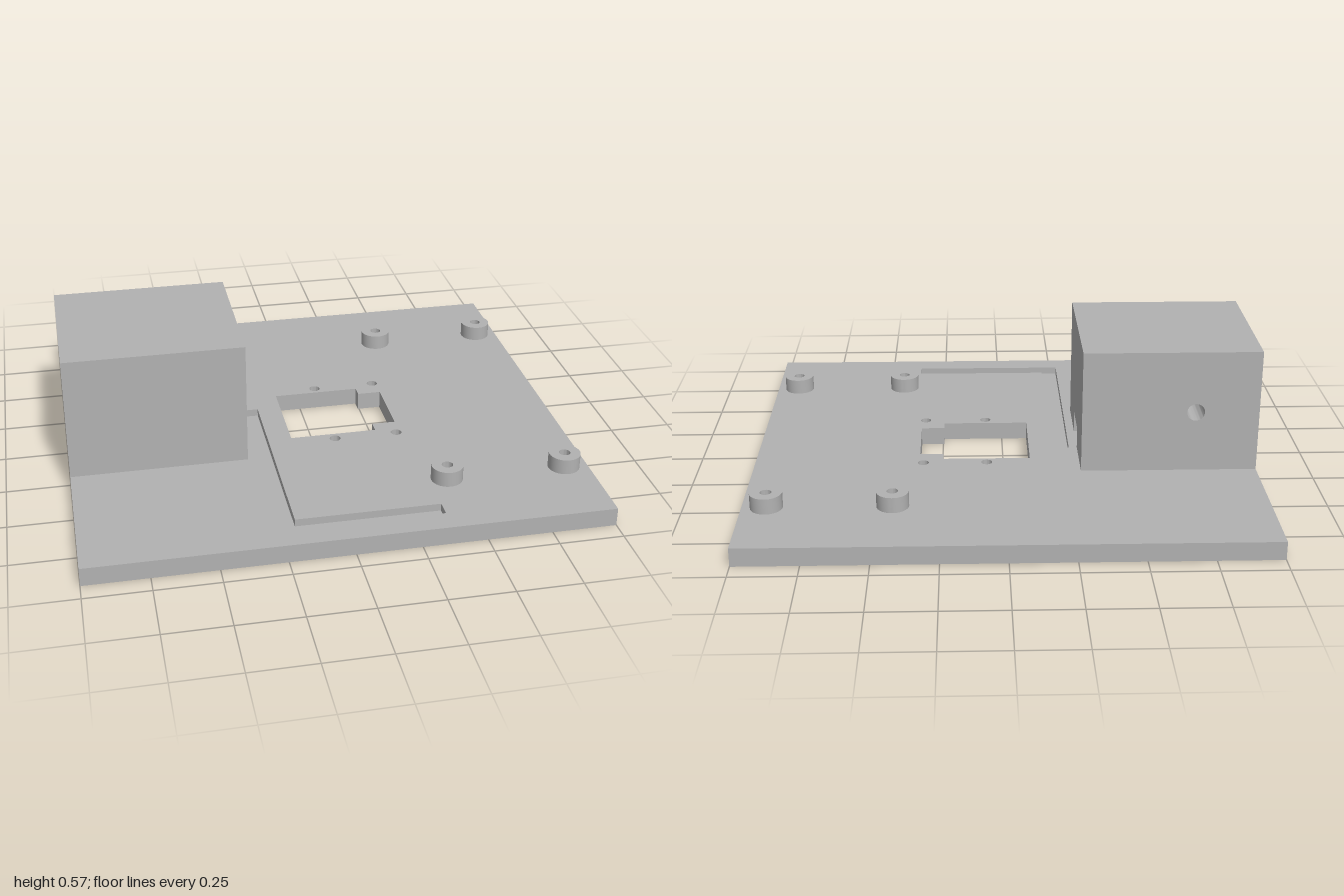
import * as THREE from 'three';
import { toCreasedNormals } from 'three/addons/utils/BufferGeometryUtils.js';

const poly = (pts, Type = THREE.Shape) => new Type(pts.map(([a, b]) => new THREE.Vector2(a, b)));
const rectPts = (a0, b0, a1, b1) => [[a0, b0], [a1, b0], [a1, b1], [a0, b1]];
const circle = (a, b, r, Type = THREE.Path) => new Type().absarc(a, b, r, 0, Math.PI * 2, false);

export function createModel() {
  const group = new THREE.Group();
  group.name = 'mountingPlate';
  const grey = new THREE.MeshStandardMaterial({ color: 0xb2b2b2 });
  grey.name = 'plain grey';

  // Extrudes an outline with holes along its own z
  const extrude = (shape, holes, depth) => {
    shape.holes.push(...holes);
    const geo = new THREE.ExtrudeGeometry(shape, { depth, bevelEnabled: false, curveSegments: 20 });
    return toCreasedNormals(geo, 0.5);
  };
  const add = (name, geo) => {
    const mesh = new THREE.Mesh(geo, grey);
    mesh.name = name;
    group.add(mesh);
  };
  // Horizontal layer: outline in (x, -z), from y0 to y1
  const layer = (name, shape, holes, y0, y1) =>
    add(name, extrude(shape, holes, y1 - y0).rotateX(-Math.PI / 2).translate(0, y0, 0));
  // Section along x: outline in (-z, y), from x0 to x1
  const section = (name, shape, holes, x0, x1) =>
    add(name, extrude(shape, holes, x1 - x0).rotateY(Math.PI / 2).translate(x0, 0, 0));

  const top = 0.073;
  const grooveTop = 0.025;
  const slotFloor = 0.043;

  // Stepped window and four small screw holes through the plate
  const openings = () => [
    poly([[-0.105, -0.178], [0.245, -0.178], [0.245, -0.128], [0.34, -0.128],
      [0.34, 0.135], [0.245, 0.135], [0.245, 0.183], [-0.105, 0.183]], THREE.Path),
    ...[0.07, 0.325].flatMap(x => [0.218, -0.213].map(s => circle(x, s, 0.022))),
  ];
  const outline = () => poly(rectPts(-1, -0.925, 1, 0.925));

  // Plate, with a rectangular ring groove underneath and an L slot on top
  layer('plateRim', outline(), [poly(rectPts(-0.69, -0.76, 0.84, 0.765), THREE.Path)], 0, grooveTop);
  layer('plateIsland', poly(rectPts(-0.51, -0.58, 0.665, 0.59)), openings(), 0, grooveTop);
  layer('plateCore', outline(), openings(), grooveTop, slotFloor);
  const slot = poly([[-0.27, -0.83], [0.36, -0.83], [0.36, -0.765], [-0.2, -0.765],
    [-0.2, 0.085], [-0.27, 0.085]], THREE.Path);
  layer('plateTop', outline(), [...openings(), slot], slotFloor, top);

  // Standoffs with screw holes
  for (const x of [0.43, 0.905]) {
    for (const s of [0.6, -0.595]) {
      layer('standoff', circle(x, s, 0.062, THREE.Shape), [circle(x, s, 0.022)], top, 0.135);
    }
  }

  // Block: bored outer end, solid middle, inner end with a cable notch
  const h = 0.57;
  const body = () => poly(rectPts(-0.308, top, 0.12, h));
  section('blockBoredEnd', body(), [circle(0, 0.32, 0.108)], -1, -0.55);
  section('blockMiddle', body(), [], -0.55, -0.5);
  section('blockNotchedEnd', poly([[-0.308, top], [-0.082, top], [-0.082, 0.158], [0.082, 0.158],
    [0.082, top], [0.12, top], [0.12, h], [-0.308, h]]), [], -0.5, -0.303);

  // Back wall of the block with its set screw hole
  const wall = extrude(poly(rectPts(-1, top, -0.303, h)), [circle(-0.75, 0.32, 0.035)], 0.19);
  add('blockBackWall', wall.translate(0, 0, -0.31));

  return group;
}
